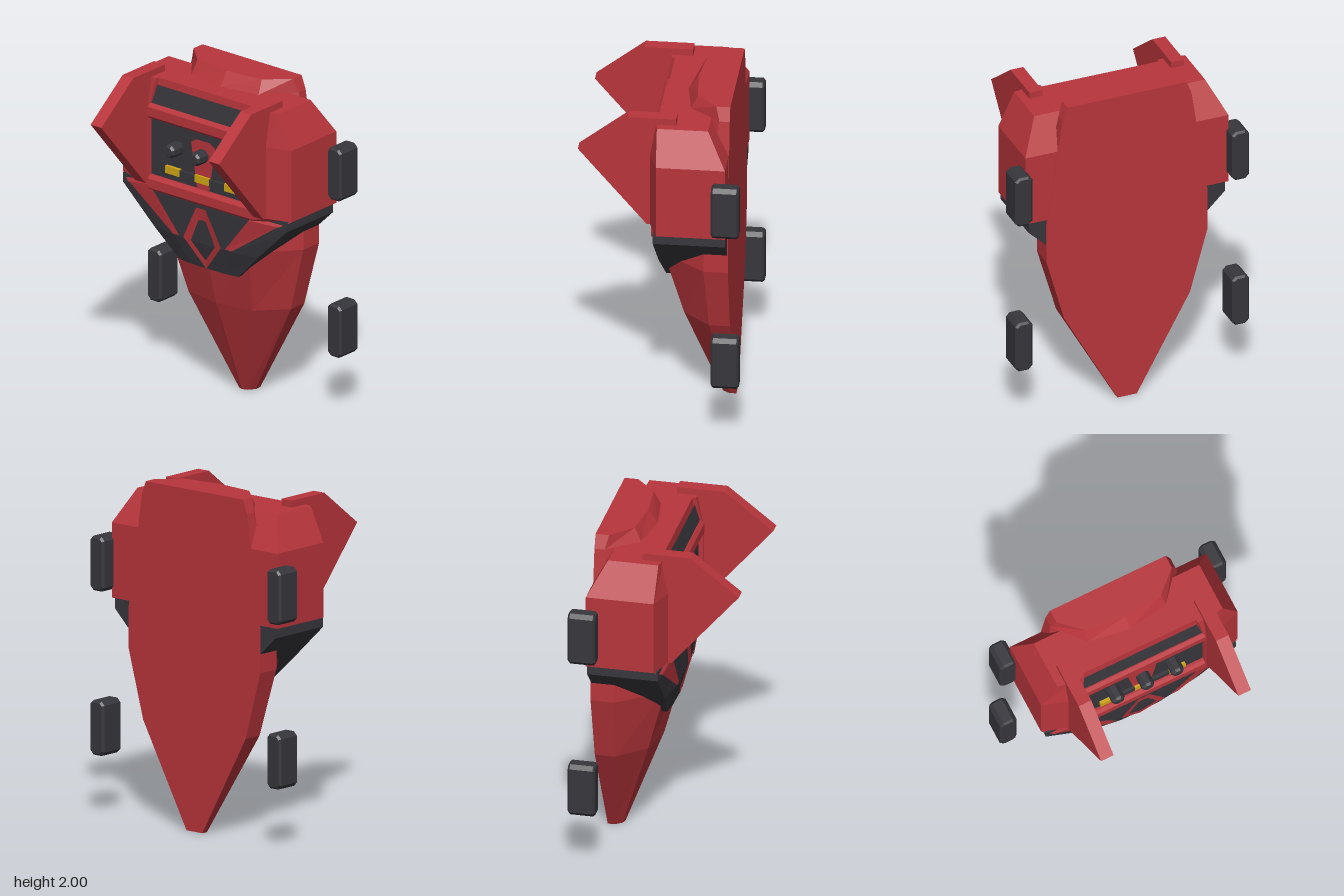
import * as THREE from 'three';

const red = new THREE.MeshStandardMaterial({ color: 0xb8353b });
red.name = 'red';
const dark = new THREE.MeshStandardMaterial({ color: 0x37363c });
dark.name = 'charcoal';
const yellow = new THREE.MeshStandardMaterial({ color: 0xd0a514 });
yellow.name = 'yellow';

function faceted(geometry) {
  const g = geometry.index ? geometry.toNonIndexed() : geometry;
  g.computeVertexNormals();
  return g;
}

function fromTriangles(points, index) {
  const g = new THREE.BufferGeometry();
  g.setAttribute('position', new THREE.Float32BufferAttribute(points.flat(), 3));
  g.setIndex(index);
  return faceted(g);
}

// Mirrored solid from horizontal sections: [y, [x, z] ...] from front centre to back right
function loft(sections) {
  const points = [], index = [];
  const rings = sections.map(([y, ...half]) => {
    const left = half.slice(1).reverse().map(([x, z]) => [-x, z]);
    return [...half, ...left].map(([x, z]) => [x, y, z]);
  });
  const n = rings[0].length;
  rings.forEach((ring) => points.push(...ring));
  for (let r = 0; r < rings.length - 1; r++) {
    for (let i = 0; i < n; i++) {
      const a = r * n + i, b = r * n + (i + 1) % n;
      index.push(a, b, b + n, a, b + n, a + n);
    }
  }
  const cap = (ring) => THREE.ShapeUtils.triangulateShape(ring.map(([x, , z]) => new THREE.Vector2(x, -z)), []);
  const top = (rings.length - 1) * n;
  cap(rings[0]).forEach(([a, b, c]) => index.push(a, c, b));
  cap(rings[rings.length - 1]).forEach(([a, b, c]) => index.push(top + a, top + b, top + c));
  return fromTriangles(points, index);
}

// Thin face, corners counter-clockwise as seen from the front
function plate(points) {
  const index = [];
  for (let i = 1; i < points.length - 1; i++) index.push(0, i, i + 1);
  return fromTriangles(points, index);
}

// Side profile of [z, y] corners extruded across x
function prism(profile, x0, x1) {
  const shape = new THREE.Shape(profile.map(([z, y]) => new THREE.Vector2(z, y)));
  const g = new THREE.ExtrudeGeometry(shape, { depth: x1 - x0, bevelEnabled: false });
  return g.rotateY(-Math.PI / 2).translate(x1, 0, 0);
}

export function createModel() {
  const model = new THREE.Group();
  model.name = 'armouredShield';
  const add = (name, geometry, material, x = 0, y = 0, z = 0) => {
    const mesh = new THREE.Mesh(geometry, material);
    mesh.name = name;
    mesh.position.set(x, y, z);
    model.add(mesh);
    return mesh;
  };

  // Tapered shield body with a flat back
  add('shieldBody', loft([
    [0, [0, -0.30], [0.03, -0.31], [0.06, -0.35], [0.06, -0.39]],
    [0.6, [0, -0.07], [0.24, -0.11], [0.39, -0.27], [0.39, -0.39]],
    [1.0, [0, 0.04], [0.30, 0], [0.5, -0.25], [0.5, -0.39]],
    [1.25, [0, 0.03], [0.30, 0], [0.5, -0.25], [0.5, -0.39]],
    [1.92, [0, -0.11], [0.25, -0.15], [0.40, -0.33], [0.40, -0.39]],
    [2.0, [0, -0.165], [0.24, -0.19], [0.37, -0.31], [0.37, -0.39]],
  ]), red);

  // Wide chest block with a recessed middle and chamfered shoulders
  const chest = [[0, 0.03], [0.39, 0.03], [0.395, 0.068], [0.48, 0.06], [0.63, 0.01], [0.63, -0.388]];
  add('chestBlock', loft([
    [1.28, ...chest],
    [1.72, ...chest],
    [1.92, [0, 0.01], [0.36, 0.01], [0.365, 0.03], [0.45, 0.03], [0.53, 0.015], [0.53, -0.28]],
  ]), red);

  // Dark tapered waist
  add('waist', loft([
    [0.835, [0, 0.01], [0.12, 0.008], [0.22, -0.005], [0.22, -0.385]],
    [1.0, [0, 0.05], [0.22, 0.045], [0.385, 0.02], [0.385, -0.385]],
    [1.22, [0, 0.06], [0.35, 0.055], [0.61, 0.03], [0.61, -0.385]],
    [1.28, [0, 0.06], [0.36, 0.055], [0.61, 0.03], [0.61, -0.385]],
  ]), dark);

  // Red inlays on the waist
  add('waistDiamond', plate([
    [0, 0.837, 0.017], [0.14, 1.01, 0.056], [0.035, 1.22, 0.066],
    [-0.035, 1.22, 0.066], [-0.14, 1.01, 0.056],
  ]), red);
  const inlay = [[0.17, 1.01, 0.055], [0.22, 1.01, 0.054], [0.56, 1.245, 0.044], [0.36, 1.245, 0.063]];
  add('leftWaistInlay', plate(inlay), red);
  add('rightWaistInlay', plate(inlay.map(([x, y, z]) => [-x, y, z]).reverse()), red);
  const skirt = [[0.36, 1.24, 0.068], [0.56, 1.24, 0.045], [0.63, 1.28, 0.012], [0.48, 1.28, 0.062], [0.36, 1.28, 0.07]];
  add('leftChestEdge', plate(skirt), red);
  add('rightChestEdge', plate(skirt.map(([x, y, z]) => [-x, y, z]).reverse()), red);

  // Dark control panel and sloping upper screen
  add('controlPanel', new THREE.BoxGeometry(0.78, 0.37, 0.008), dark, 0, 1.505, 0.036);
  add('upperScreen', plate([
    [-0.385, 1.76, 0.05], [0.385, 1.76, 0.05], [0.36, 1.88, 0.024], [-0.36, 1.88, 0.024],
  ]), dark);

  // Chamfered bars above and below the panel
  for (const [name, y0, y1] of [['upperBar', 1.68, 1.77], ['lowerBar', 1.24, 1.33]]) {
    add(name, prism([
      [0, y0], [0.06, y0], [0.073, y0 + 0.015], [0.073, y1 - 0.02], [0.055, y1], [0, y1],
    ], -0.39, 0.39), red);
  }

  // Flared red emblem in the panel centre
  add('panelEmblem', plate([
    [-0.045, 1.33, 0.046], [0.045, 1.33, 0.046], [0.09, 1.605, 0.046],
    [0.05, 1.63, 0.046], [-0.05, 1.63, 0.046], [-0.09, 1.605, 0.046],
  ]), red);

  // Row of lamps with dark links
  for (const x of [-0.22, 0, 0.22]) {
    add('lamp', new THREE.BoxGeometry(0.105, 0.045, 0.03), yellow, x, 1.393, 0.045);
  }
  for (const x of [-0.11, 0.11]) {
    add('lampLink', new THREE.BoxGeometry(0.115, 0.042, 0.025), dark, x, 1.388, 0.045);
  }

  // Octagonal knobs
  const knob = faceted(new THREE.LatheGeometry(
    [[0.042, 0], [0.042, 0.085], [0.03, 0.1], [0, 0.1]].map(([r, h]) => new THREE.Vector2(r, h)), 8,
  ).rotateX(Math.PI / 2).rotateZ(Math.PI / 8));
  for (const x of [-0.19, 0, 0.19]) add('knob', knob, dark, x, 1.54, 0.032);

  // Pointed side fins
  const fin = [[-0.09, 1.91], [0.02, 1.28], [0.08, 1.28], [0.475, 1.74], [0.19, 1.96], [-0.09, 1.96]];
  add('leftFin', prism(fin, 0.4, 0.48), red);
  add('rightFin', prism(fin, -0.48, -0.4), red);

  // Four detached chamfered pads
  const w = 0.041, h = 0.148, c = 0.016;
  const padShape = new THREE.Shape([
    [-w + c, -h], [w - c, -h], [w, -h + c], [w, h - c], [w - c, h], [-w + c, h], [-w, h - c], [-w, -h + c],
  ].map(([x, y]) => new THREE.Vector2(x, y)));
  const pad = new THREE.ExtrudeGeometry(padShape, {
    depth: 0.136, bevelSize: 0.012, bevelThickness: 0.012, bevelSegments: 1,
  });
  for (const x of [-0.672, 0.672]) {
    for (const y of [0.522, 1.485]) add('sidePad', pad, dark, x, y, -0.463);
  }

  return model;
}
